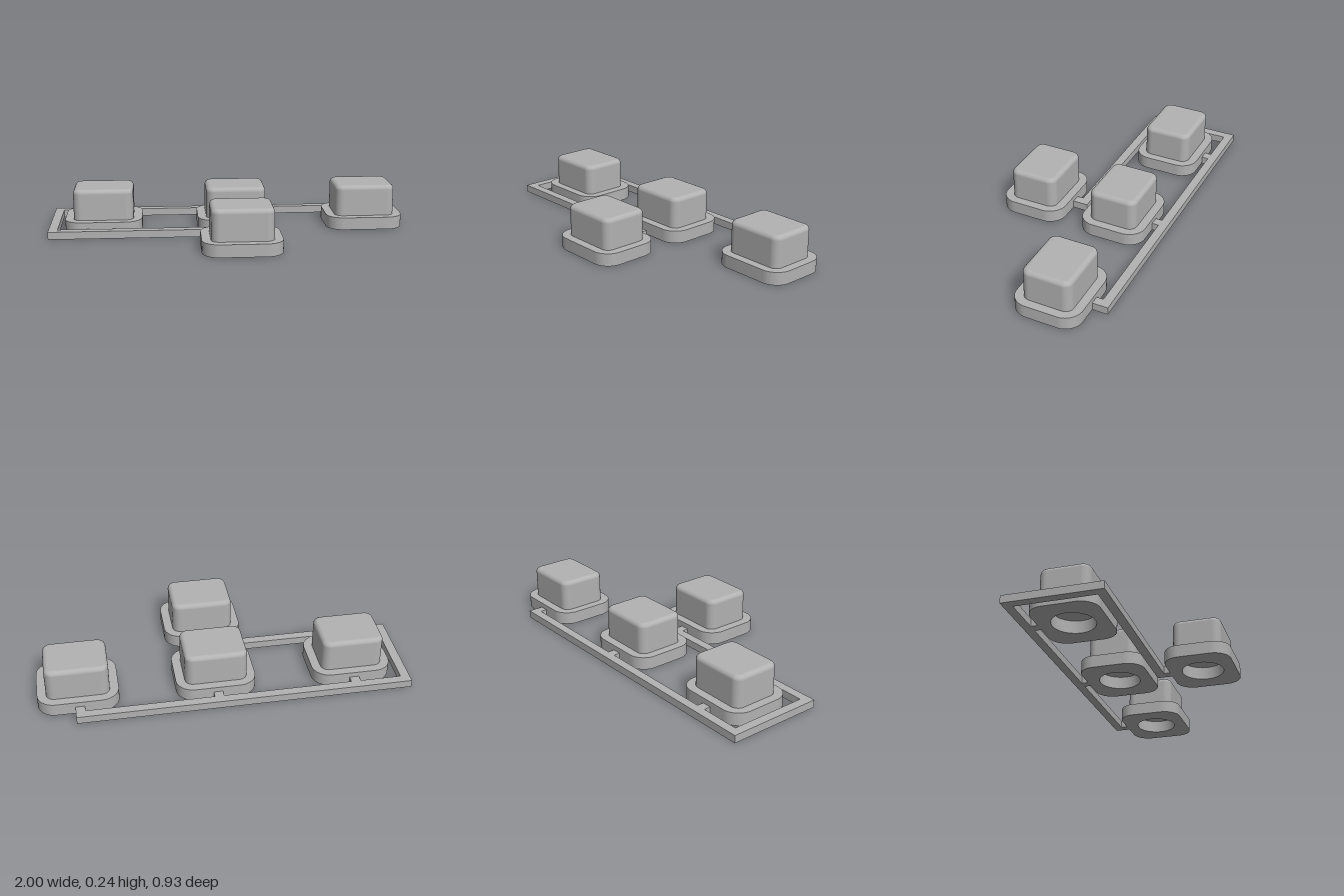
import * as THREE from 'three';
import { toCreasedNormals } from 'three/addons/utils/BufferGeometryUtils.js';

const FLANGE_H = 0.07, RAIL_H = 0.042, HOLE_R = 0.115;

// Extrude a plan-view shape (drawn as x, -z) upward from y = 0
function slab(shape, height) {
  const g = new THREE.ExtrudeGeometry(shape, { depth: height, bevelEnabled: false, curveSegments: 12 });
  g.rotateX(-Math.PI / 2);
  return toCreasedNormals(g, 0.6);
}

function roundedRect(w, d, r) {
  const x = w / 2 - r, y = d / 2 - r, s = new THREE.Shape();
  s.absarc(x, y, r, 0, Math.PI / 2);
  s.absarc(-x, y, r, Math.PI / 2, Math.PI);
  s.absarc(-x, -y, r, Math.PI, Math.PI * 1.5);
  s.absarc(x, -y, r, Math.PI * 1.5, Math.PI * 2);
  s.closePath();
  return s;
}

// Straight-sided block with rounded corners and a filleted top edge, lofted from rings
function capGeometry(w, d, y0, y1, r, fillet) {
  const pos = [], nor = [], idx = [], n = 8, steps = 6;
  const rings = [{ y: y0, a: 0 }];
  for (let i = 0; i <= steps; i++) {
    const a = (i / steps) * Math.PI / 2;
    rings.push({ y: y1 - fillet + fillet * Math.sin(a), a });
  }
  const count = 4 * (n + 1);
  for (const { y, a } of rings) {
    const rad = r - fillet + fillet * Math.cos(a);
    for (let q = 0; q < 4; q++) {
      const cx = (q === 0 || q === 3 ? 1 : -1) * (w / 2 - r);
      const cz = (q < 2 ? 1 : -1) * (d / 2 - r);
      for (let i = 0; i <= n; i++) {
        const t = (q + i / n) * Math.PI / 2, c = Math.cos(t), s = Math.sin(t);
        pos.push(cx + rad * c, y, cz + rad * s);
        nor.push(c * Math.cos(a), Math.sin(a), s * Math.cos(a));
      }
    }
  }
  for (let k = 0; k < rings.length - 1; k++) {
    for (let i = 0; i < count; i++) {
      const j = (i + 1) % count, a = k * count, b = a + count;
      idx.push(a + i, b + i, b + j, a + i, b + j, a + j);
    }
  }
  // flat top
  const last = (rings.length - 1) * count, centre = pos.length / 3;
  pos.push(0, y1, 0);
  nor.push(0, 1, 0);
  for (let i = 0; i < count; i++) idx.push(centre, last + (i + 1) % count, last + i);
  const g = new THREE.BufferGeometry();
  g.setAttribute('position', new THREE.Float32BufferAttribute(pos, 3));
  g.setAttribute('normal', new THREE.Float32BufferAttribute(nor, 3));
  g.setIndex(idx);
  return g;
}

export function createModel() {
  const model = new THREE.Group();
  model.name = 'buttonSet';
  const grey = new THREE.MeshStandardMaterial({ color: 0xb2b2b2 });
  grey.name = 'grey plastic';
  const add = (parent, name, geometry) => {
    const mesh = new THREE.Mesh(geometry, grey);
    mesh.name = name;
    parent.add(mesh);
  };

  // Flange with a round socket underneath
  const flangeShape = roundedRect(0.432, 0.365, 0.095);
  const hole = new THREE.Path();
  hole.absarc(0, 0, HOLE_R, 0, Math.PI * 2, true);
  flangeShape.holes.push(hole);
  const flange = slab(flangeShape, FLANGE_H);
  const cap = capGeometry(0.336, 0.27, FLANGE_H, 0.243, 0.045, 0.025);
  const ceiling = new THREE.CircleGeometry(HOLE_R, 48);
  ceiling.rotateX(Math.PI / 2).translate(0, FLANGE_H, 0);

  // Four buttons: three in the back row, one in front
  const places = [[-0.7, -0.198], [0.047, -0.198], [0.784, -0.198], [0.047, 0.283]];
  for (const [x, z] of places) {
    const button = new THREE.Group();
    button.name = 'button';
    button.position.set(x, 0, z);
    add(button, 'flange', flange);
    add(button, 'cap', cap);
    add(button, 'socketCeiling', ceiling);
    model.add(button);
  }

  // Flat connecting rail with a short tab to each button, outlined as x, z
  const outline = [
    [-1, -0.465], [0.805, -0.465], [0.805, -0.375], [0.755, -0.375], [0.755, -0.417],
    [0.072, -0.417], [0.072, -0.375], [0.022, -0.375], [0.022, -0.417],
    [-0.675, -0.417], [-0.675, -0.375], [-0.727, -0.375], [-0.727, -0.417],
    [-0.95, -0.417], [-0.95, 0.016], [0.073, 0.016], [0.073, 0.105], [0.022, 0.105],
    [0.022, 0.065], [-1, 0.065],
  ];
  const railShape = new THREE.Shape(outline.map(([x, z]) => new THREE.Vector2(x, -z)));
  add(model, 'rail', slab(railShape, RAIL_H));
  return model;
}
